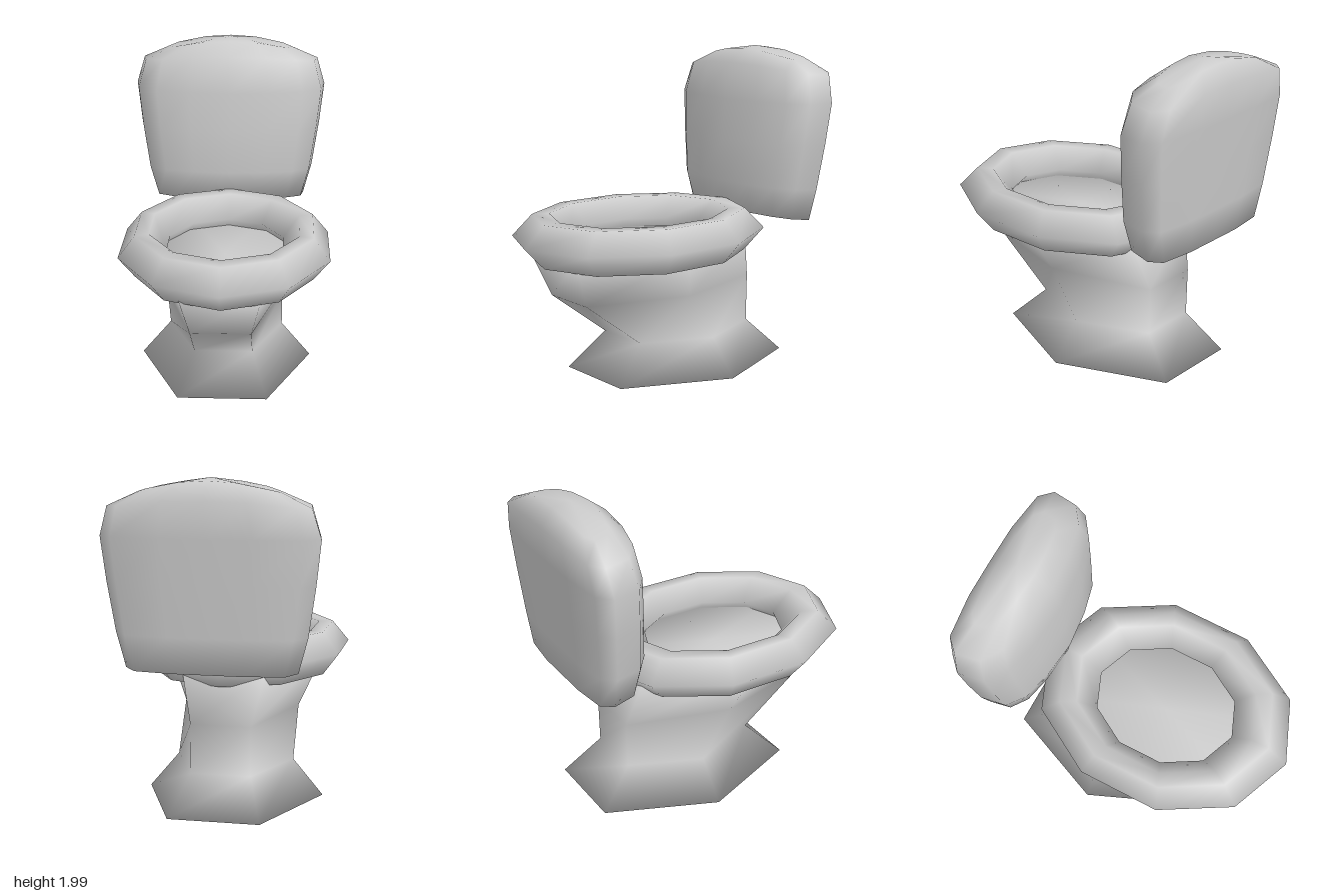
import * as THREE from 'three';

const material = new THREE.MeshStandardMaterial({ color: 0xcccccc });

// Skin a stack of equal-length rings; either cap both ends or join last ring to first.
function loft(name, rings, { wrap = false, bottom, top } = {}) {
  const n = rings[0].length;
  const points = rings.flat();
  const index = [];
  const spans = wrap ? rings.length : rings.length - 1;
  for (let i = 0; i < spans; i++) {
    const lo = i * n, hi = ((i + 1) % rings.length) * n;
    for (let j = 0; j < n; j++) {
      const k = (j + 1) % n;
      index.push(lo + j, lo + k, hi + k, lo + j, hi + k, hi + j);
    }
  }
  if (bottom) {
    const c = points.push(bottom) - 1;
    for (let j = 0; j < n; j++) index.push(c, (j + 1) % n, j);
  }
  if (top) {
    const c = points.push(top) - 1, start = (rings.length - 1) * n;
    for (let j = 0; j < n; j++) index.push(c, start + j, start + (j + 1) % n);
  }
  const geometry = new THREE.BufferGeometry().setFromPoints(points);
  geometry.setIndex(index);
  geometry.computeVertexNormals();
  const mesh = new THREE.Mesh(geometry, material);
  mesh.name = name;
  return mesh;
}

// Elliptical polygon ring, counter-clockwise seen from above.
function ellipseRing(sides, y, rx, rz, cx, cz, turn = 0) {
  return Array.from({ length: sides }, (_, i) => {
    const a = turn + (i / sides) * Math.PI * 2;
    return new THREE.Vector3(cx + rx * Math.sin(a), y, cz + rz * Math.cos(a));
  });
}

// Six-sided pedestal, pinched at the waist and leaning forward to the bowl.
function createPedestal() {
  const levels = [ // y, half width, front z, back z
    [0, 0.55, 0.51, -0.81],
    [0.22, 0.365, 0.29, -0.59],
    [0.52, 0.365, 0.69, -0.595],
    [0.82, 0.5, 0.81, -0.51],
  ];
  const rings = levels.map(([y, w, front, back]) =>
    ellipseRing(6, y, w, (front - back) / 2 / Math.cos(Math.PI / 6), 0, (front + back) / 2, Math.PI / 6));
  return loft('pedestal', rings, {
    bottom: new THREE.Vector3(0, 0, -0.15),
    top: new THREE.Vector3(0, 0.82, 0.15),
  });
}

// Ten-sided seat ring with a hexagonal section.
function createSeat() {
  const section = [ // offset across the ring (-1 inner, 1 outer), y
    [0.3, 0.745], [1, 0.88], [0.3, 1.01], [-0.3, 1.01], [-1, 0.88], [-0.3, 0.745],
  ];
  const rings = section.map(([t, y]) =>
    ellipseRing(10, y, 0.524 + 0.149 * t, 0.655 + 0.19 * t, 0.008, 0.155));
  return loft('seat', rings, { wrap: true });
}

// Pillow-shaped tank: one mirrored plan outline scaled at each level.
function createTank() {
  const half = [ // x as a share of half width, depth from front (0) to back (1)
    [0, 0], [0.42, 0.06], [0.76, 0.17], [0.96, 0.38], [1, 0.76], [0.87, 0.94], [0.42, 1], [0, 1],
  ];
  const outline = [...half, ...half.slice(1, -1).reverse().map(([x, t]) => [-x, t])];
  const levels = [ // y, half width, front z, back z, arch, backward drop
    [0.94, 0.5, -0.56, -0.92, 0, 0.05],
    [1.13, 0.555, -0.52, -0.94, 0, 0.03],
    [1.4, 0.6, -0.535, -0.965, 0, 0],
    [1.66, 0.63, -0.55, -0.985, 0, 0],
    [1.89, 0.58, -0.59, -1, 0.13, 0.02],
    [1.975, 0.4, -0.7, -0.92, 0.38, 0],
  ];
  const rings = levels.map(([y, w, front, back, arch, drop]) =>
    outline.map(([u, t]) => {
      const x = u * w;
      return new THREE.Vector3(x, y - arch * x * x - drop * t, front + (back - front) * t);
    }));
  return loft('tank', rings, {
    bottom: new THREE.Vector3(0, 0.915, -0.74),
    top: new THREE.Vector3(0, 1.99, -0.81),
  });
}

export function createModel() {
  const group = new THREE.Group();
  group.name = 'toilet';
  group.add(createPedestal(), createSeat(), createTank());
  return group;
}
